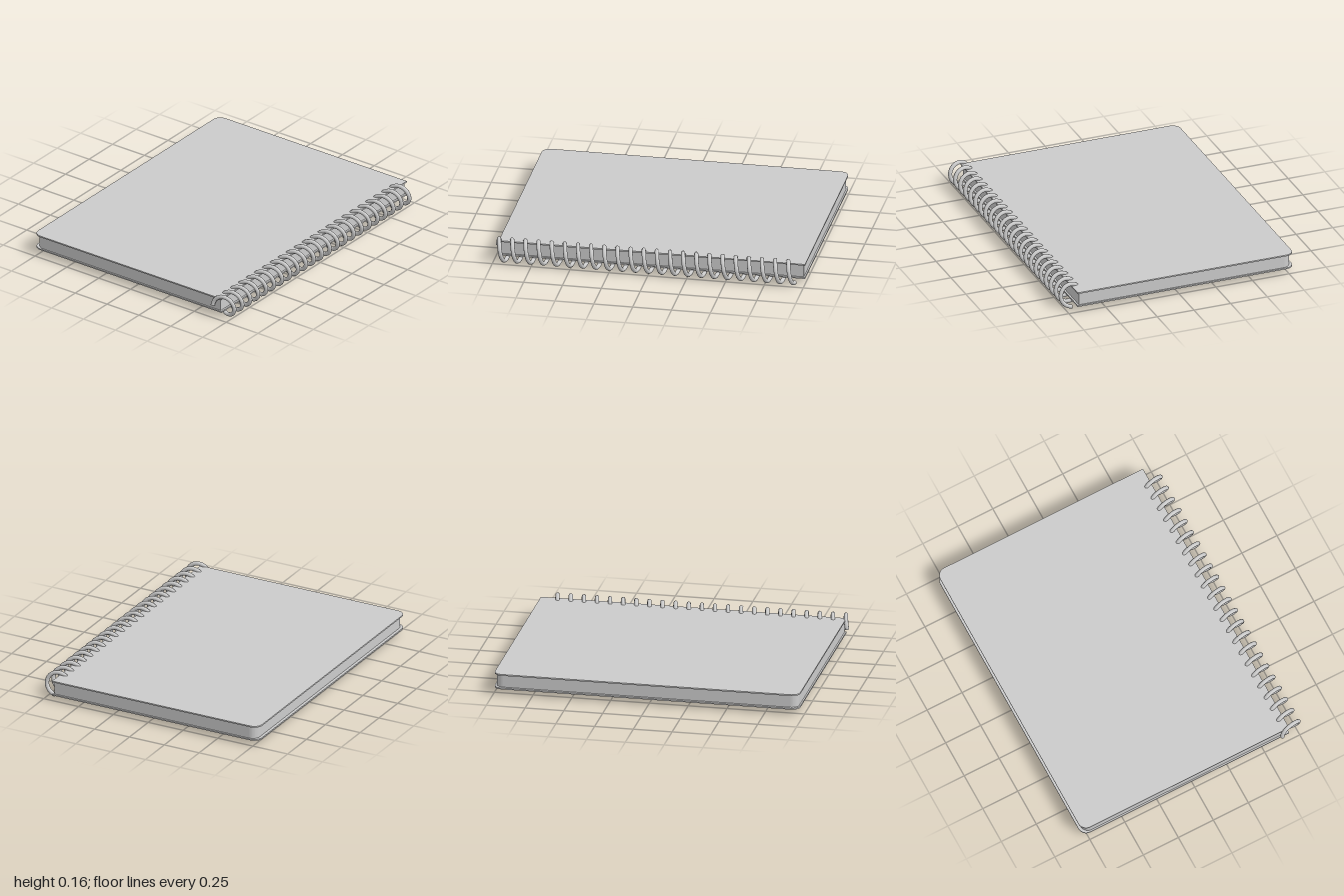
import * as THREE from 'three';

const material = new THREE.MeshStandardMaterial({ color: 0xcccccc });

// Flat sheet lying in xz, square at the binding side and rounded at the open side
function sheet(name, x0, x1, z0, z1, y0, y1, radius) {
  const s = new THREE.Shape();
  s.moveTo(x1, -z0);
  s.lineTo(x0 + radius, -z0);
  s.absarc(x0 + radius, -z0 - radius, radius, Math.PI / 2, Math.PI, false);
  s.lineTo(x0, -z1 + radius);
  s.absarc(x0 + radius, -z1 + radius, radius, Math.PI, Math.PI * 1.5, false);
  s.lineTo(x1, -z1);
  s.closePath();
  const geo = new THREE.ExtrudeGeometry(s, { depth: y1 - y0, bevelEnabled: false, curveSegments: 4 });
  geo.rotateX(-Math.PI / 2);
  geo.translate(0, y0, 0);
  const mesh = new THREE.Mesh(geo, material);
  mesh.name = name;
  return mesh;
}

// Helix running from the front of the spine to the back
class Helix extends THREE.Curve {
  constructor(x, y, radius, z0, z1, turns) {
    super();
    Object.assign(this, { x, y, radius, z0, z1, turns });
  }
  getPoint(t, target = new THREE.Vector3()) {
    const a = Math.PI - t * this.turns * Math.PI * 2;
    return target.set(
      this.x + this.radius * Math.cos(a),
      this.y + this.radius * Math.sin(a),
      this.z0 + (this.z1 - this.z0) * t
    );
  }
}

function spiralBinding() {
  const group = new THREE.Group();
  group.name = 'spiralBinding';
  const wire = 0.0135;
  const helix = new Helix(0.703, 0.082, 0.0685, 0.986, -0.937, 22.75);
  helix.arcLengthDivisions = 1200;
  const coil = new THREE.Mesh(new THREE.TubeGeometry(helix, 640, wire, 10), material);
  coil.name = 'coil';
  group.add(coil);

  // Flat ends of the wire
  for (const [t, dir] of [[0, -1], [1, 1]]) {
    const cap = new THREE.Mesh(new THREE.CircleGeometry(wire, 10), material);
    const outward = helix.getTangent(t).multiplyScalar(dir);
    cap.name = 'wireEnd';
    cap.position.copy(helix.getPoint(t));
    cap.quaternion.setFromUnitVectors(new THREE.Vector3(0, 0, 1), outward);
    group.add(cap);
  }
  return group;
}

export function createModel() {
  const model = new THREE.Group();
  model.name = 'spiralNotebook';
  model.add(
    sheet('backCover', -0.787, 0.69, -1, 0.97, 0.036, 0.045, 0.055),
    sheet('pages', -0.768, 0.678, -0.99, 0.96, 0.045, 0.127, 0.05),
    sheet('frontCover', -0.787, 0.69, -1, 0.97, 0.127, 0.136, 0.055),
    spiralBinding()
  );
  return model;
}
